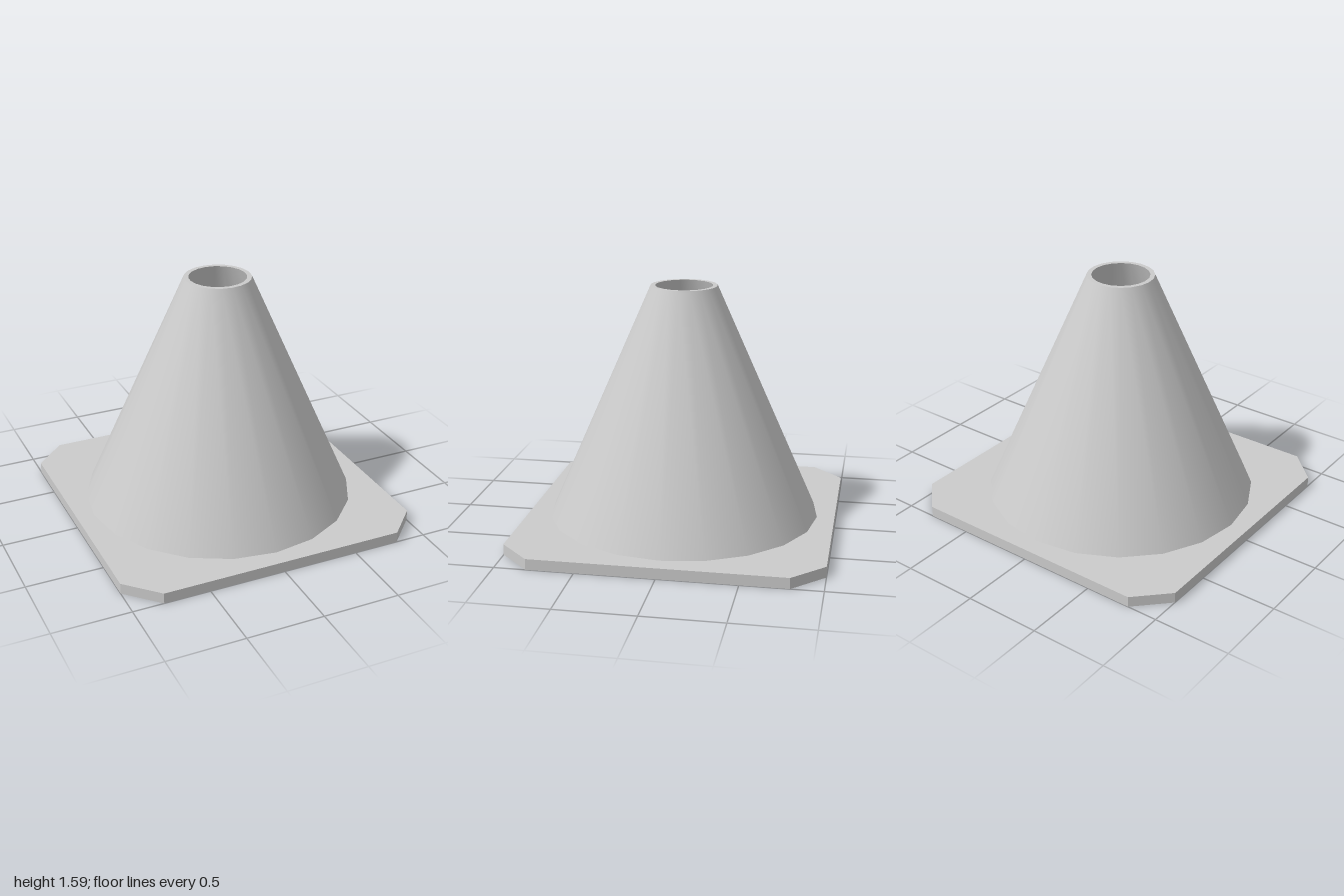
import * as THREE from 'three';

const SIDES = 20;
const PLATE_HEIGHT = 0.07;
const HEIGHT = 1.585;
const BASE_HOLE = 0.72;

export function createModel() {
  const model = new THREE.Group();
  model.name = 'trafficCone';
  const material = new THREE.MeshStandardMaterial({ color: 0xcccccc });

  const add = (name, geometry, parent) => {
    const mesh = new THREE.Mesh(geometry, material);
    mesh.name = name;
    parent.add(mesh);
  };

  // Square base plate with cut corners and a round opening
  const plate = new THREE.Shape([
    [1, -0.8], [1, 0.8], [0.8, 1], [-0.8, 1],
    [-1, 0.8], [-1, -0.8], [-0.8, -1], [0.8, -1],
  ].map(([x, y]) => new THREE.Vector2(x, y)));
  const opening = [];
  for (let i = 0; i < SIDES; i++) {
    const a = (-i / SIDES) * Math.PI * 2;
    opening.push(new THREE.Vector2(Math.cos(a) * BASE_HOLE, Math.sin(a) * BASE_HOLE));
  }
  plate.holes.push(new THREE.Path(opening));
  const plateGeometry = new THREE.ExtrudeGeometry(plate, { depth: PLATE_HEIGHT, bevelEnabled: false });
  plateGeometry.rotateX(-Math.PI / 2);
  add('basePlate', plateGeometry, model);

  // Hollow cone: separate smooth bands keep the rim edges sharp
  const cone = new THREE.Group();
  cone.name = 'cone';
  model.add(cone);
  const profile = [
    [0.885, PLATE_HEIGHT], [0.215, HEIGHT], [0.185, HEIGHT], [BASE_HOLE, 0],
  ].map(([r, y]) => new THREE.Vector2(r, y));
  ['outerWall', 'topRim', 'innerWall'].forEach((name, i) => {
    add(name, new THREE.LatheGeometry(profile.slice(i, i + 2), SIDES), cone);
  });

  return model;
}
